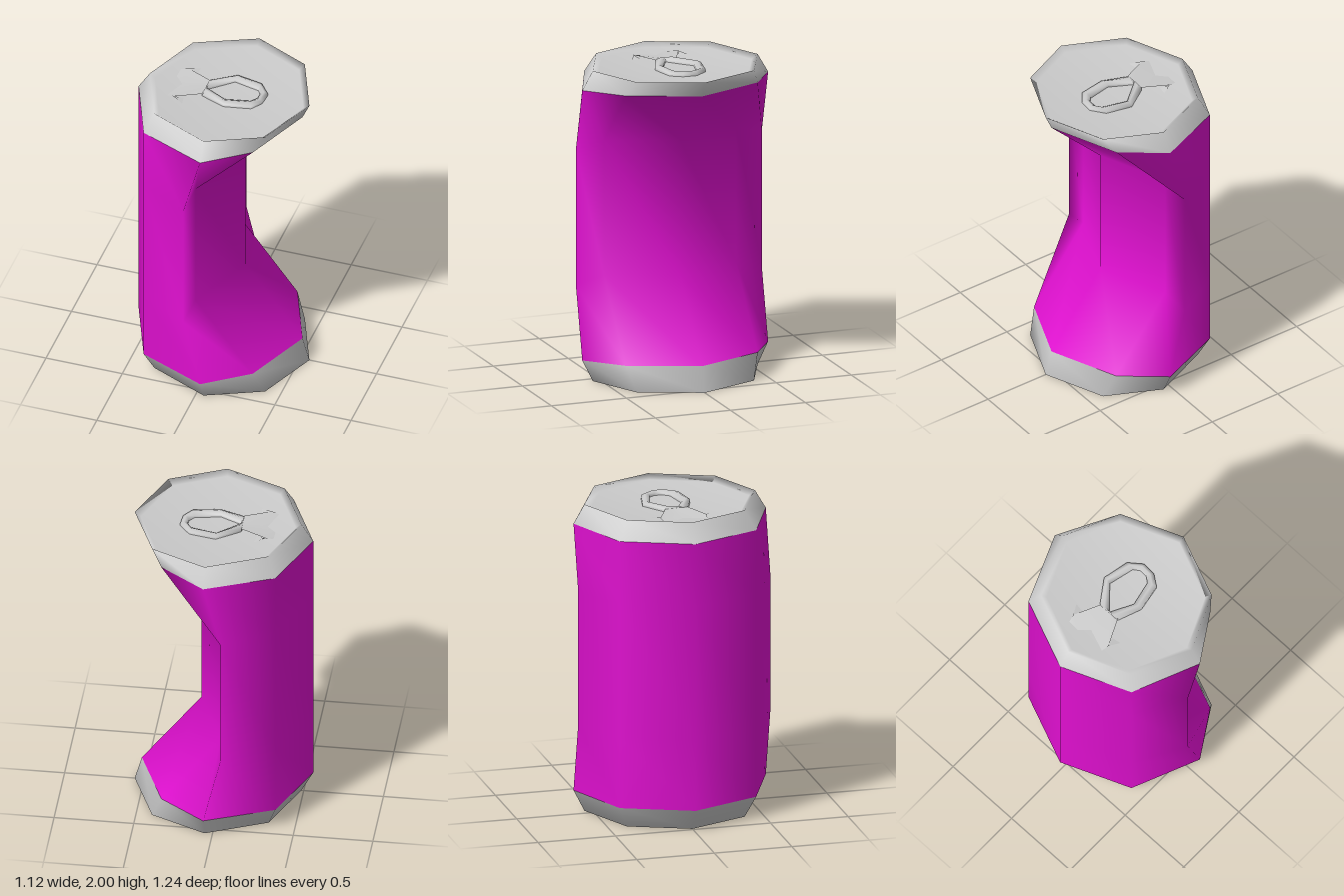
import * as THREE from 'three';

// Half outline from -x through +z to +x, mirrored into a closed eight-sided ring of [x, y, z]
function ring(half) {
  const back = half.slice(1, -1).reverse().map(([x, y, z]) => [x, y, -z]);
  return [...half, ...back];
}

// Joins rings (listed bottom to top, or outside to inside) into one smooth surface
function loft(rings, tip) {
  const n = rings[0].length;
  const pos = rings.flat(2);
  const index = [];
  for (let r = 0; r < rings.length - 1; r++) {
    for (let i = 0; i < n; i++) {
      const j = (i + 1) % n;
      const a = r * n + i, b = r * n + j, c = a + n, d = b + n;
      index.push(a, b, c, b, d, c);
    }
  }
  if (tip) {
    const last = (rings.length - 1) * n;
    pos.push(...tip);
    for (let i = 0; i < n; i++) index.push(last + i, last + (i + 1) % n, rings.length * n);
  }
  const geo = new THREE.BufferGeometry();
  geo.setAttribute('position', new THREE.Float32BufferAttribute(pos, 3));
  geo.setIndex(index);
  geo.computeVertexNormals();
  return geo;
}

export function createModel() {
  const group = new THREE.Group();
  const metal = new THREE.MeshStandardMaterial({ color: 0xcccccc, side: THREE.DoubleSide });
  const paint = new THREE.MeshStandardMaterial({ color: 0xe010d0, side: THREE.DoubleSide });
  const add = (name, geo, mat) => {
    const mesh = new THREE.Mesh(geo, mat);
    mesh.name = name;
    group.add(mesh);
  };

  // Outlines of the can; the right half of the waist is pushed in
  const end = (y) => ring([[-0.485, y, 0], [-0.33, y, 0.38], [0.05, y, 0.55], [0.4, y, 0.39], [0.56, y, 0]]);
  const shoulder = (y) => ring([[-0.56, y, 0], [-0.38, y, 0.44], [0.05, y, 0.62],
    [0.335, y + 0.02, 0.44], [0.515, y + 0.02, 0]]);
  const waist = (y) => ring([[-0.56, y, 0], [-0.38, y, 0.44], [-0.06, y, 0.62],
    [-0.04, y + 0.05, 0.44], [0.14, y + 0.05, 0]]);
  const inset = (y) => end(y).map(([x, h, z]) => [x * 0.93, h, z * 0.93]);

  // Painted body with the dent
  add('body', loft([shoulder(0.14), waist(0.6), waist(1.47), shoulder(1.88)]), paint);

  // Bare metal ends: sloping rim running into a shallow recessed disc
  add('topEnd', loft([shoulder(1.88), end(2), inset(1.97)], [0.03, 1.958, 0]), metal);
  const bottom = [shoulder(0.14), end(0), inset(0.01)].map((r) => r.reverse());
  add('bottomEnd', loft(bottom, [0.03, 0.015, 0]), metal);

  // Pull tab: a rounded loop with an open middle
  const outer = [[-0.12, 0.07], [0.04, 0.13], [0.21, 0.1], [0.26, 0.03],
    [0.267, -0.06], [0.2, -0.145], [0.03, -0.18], [-0.12, -0.075]];
  const hole = [[-0.11, 0.002], [0.03, 0.075], [0.19, 0.04], [0.22, 0],
    [0.222, -0.05], [0.195, -0.09], [0.03, -0.13], [-0.11, -0.004]];
  const middle = outer.map(([x, z], i) => [(x + hole[i][0]) / 2, (z + hole[i][1]) / 2]);
  const at = (outline, y) => outline.map(([x, z]) => [x, y, z]);
  add('pullTab', loft([at(outer, 1.955), at(outer, 1.98), at(middle, 1.992),
    at(hole, 1.977), at(hole, 1.955)]), metal);

  // Ramp from the tab down into the lid, widest at its two raised corners
  const ramp = new THREE.PlaneGeometry(1, 1, 2, 2);
  const columns = [[-0.37, 0.13, 1.96, 1.96], [-0.28, 0.15, 1.978, 1.965], [-0.11, 0.07, 1.982, 1.984]];
  for (let i = 0; i < 9; i++) {
    const [x, width, edgeY, midY] = columns[i % 3];
    const side = Math.floor(i / 3) - 1;
    ramp.attributes.position.setXYZ(i, x, side ? edgeY : midY, side * width);
  }
  ramp.computeVertexNormals();
  add('tabRamp', ramp, metal);

  // Small torn flaps under the raised corners
  for (const s of [1, -1]) {
    const corners = [[-0.28, 1.978, 0.15 * s], [-0.19, 1.962, 0.2 * s], [-0.22, 1.965, 0.125 * s]];
    if (s < 0) corners.reverse();
    const flap = new THREE.BufferGeometry();
    flap.setAttribute('position', new THREE.Float32BufferAttribute(corners.flat(), 3));
    flap.computeVertexNormals();
    add(s > 0 ? 'frontFlap' : 'backFlap', flap, metal);
  }
  return group;
}
